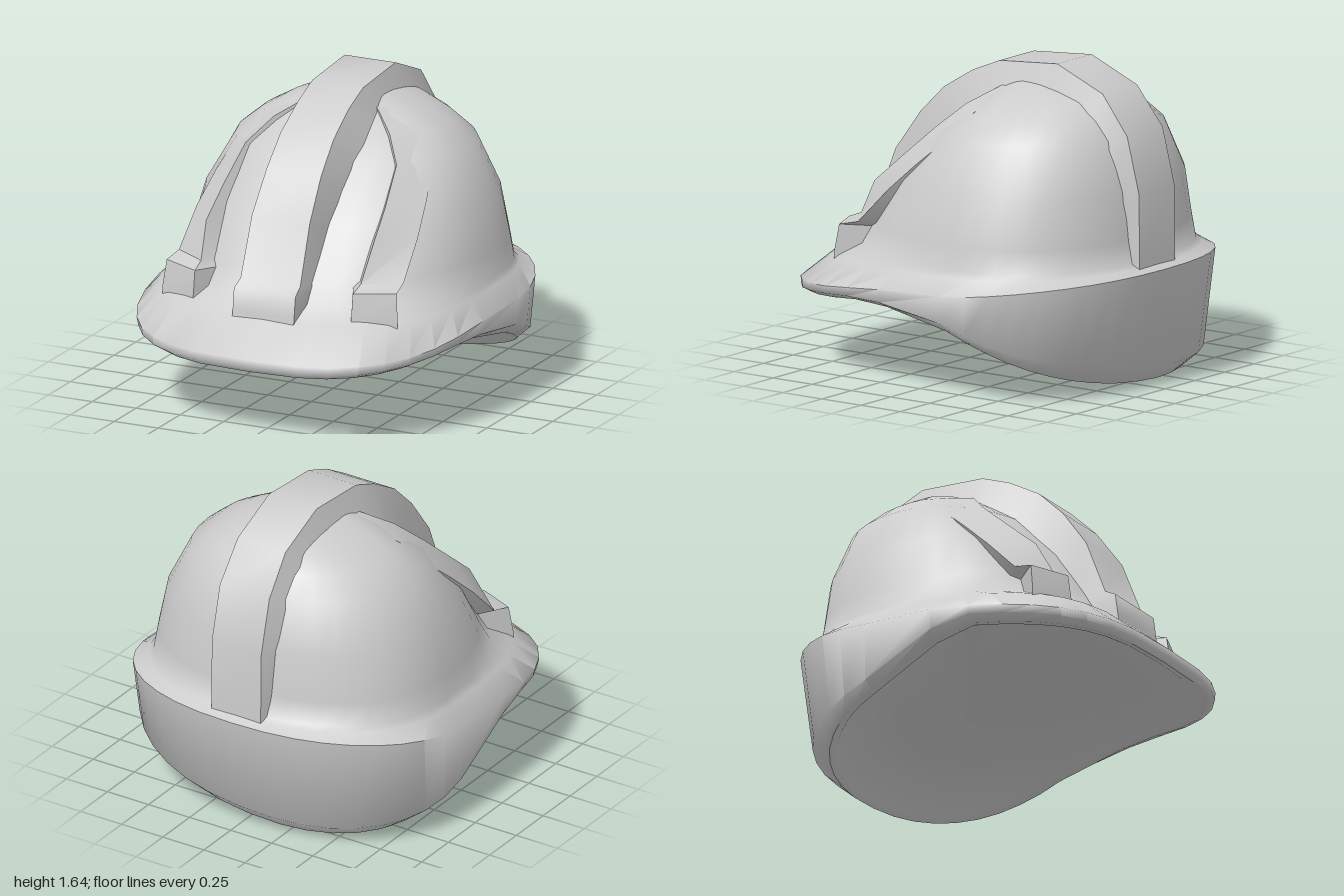
import * as THREE from 'three';
import { toCreasedNormals } from 'three/addons/utils/BufferGeometryUtils.js';

const SEGMENTS = 36;
const MID_Z = -0.25; // depth at which the helmet is widest

// Piecewise-linear lookup through [position, value] pairs in rising order.
function lookup(table, v) {
  if (v <= table[0][0]) return table[0][1];
  for (let i = 1; i < table.length; i++) {
    const [a, ya] = table[i - 1], [b, yb] = table[i];
    if (v <= b) return ya + (yb - ya) * (v - a) / (b - a);
  }
  return table[table.length - 1][1];
}

// Skin closed loops of points, listed from bottom to top.
function loft(loops, crease) {
  const n = loops[0].length, index = [];
  for (let i = 0; i < loops.length - 1; i++) {
    for (let j = 0; j < n; j++) {
      const a = i * n + j, b = i * n + (j + 1) % n;
      index.push(a, b, b + n, a, b + n, a + n);
    }
  }
  const geo = new THREE.BufferGeometry();
  geo.setAttribute('position', new THREE.Float32BufferAttribute(loops.flat(2), 3));
  geo.setIndex(index);
  return toCreasedNormals(geo, crease);
}

// Egg-shaped ring: half width, front z, back z, roundness of each half, height rule.
function ring(w, front, back, pf, pb, height) {
  const pts = [];
  for (let i = 0; i < SEGMENTS; i++) {
    const t = (i / SEGMENTS) * Math.PI * 2, s = Math.sin(t), c = Math.cos(t);
    const p = c > 0 ? pf : pb;
    const x = w * Math.sign(s) * Math.abs(s) ** p;
    const z = MID_Z + (c > 0 ? front - MID_Z : MID_Z - back) * Math.sign(c) * Math.abs(c) ** p;
    pts.push([x, typeof height === 'function' ? height(x, z) : height, z]);
  }
  return pts;
}

// Rim heights along z; the rim sits a little higher on the left side.
const rimTable = [[-0.82, 0.01], [-0.65, 0.09], [-0.42, 0.2], [-0.1, 0.33], [0.25, 0.44], [0.6, 0.4], [0.98, 0.36]];
const lowTable = [[-0.92, 0.1], [-0.42, 0.25], [-0.1, 0.37], [0.25, 0.465], [0.6, 0.43], [1, 0.385]];
const edgeTable = [[-1, 0.62], [-0.8, 0.6], [-0.3, 0.54], [0.2, 0.52], [0.6, 0.47], [1, 0.43]];
const tilt = (x, z) => 0.09 * x * THREE.MathUtils.clamp((0.25 - z) / 0.5, 0, 1);
const rimHeight = (lift) => (x, z) => lookup(rimTable, z) + tilt(x, z) + lift;

function shellGeometry() {
  const loops = [
    // Recessed underside and inner lip
    ring(0.001, MID_Z + 0.001, MID_Z - 0.001, 1, 1, rimHeight(0.08)),
    ring(0.4, 0.4, -0.5, 0.8, 0.9, rimHeight(0.07)),
    ring(0.77, 0.84, -0.76, 0.72, 0.9, rimHeight(0.06)),
    ring(0.81, 0.93, -0.79, 0.68, 0.9, rimHeight(0.01)),
    // Outer rim, brim edge and band
    ring(0.86, 0.975, -0.82, 0.66, 0.9, rimHeight(0)),
    ring(0.92, 1.0, -0.92, 0.66, 0.9, (x, z) => lookup(lowTable, z) + tilt(x, z)),
    ring(0.93, 1.0, -1.0, 0.66, 0.88, (x, z) => lookup(edgeTable, z)),
    // Shelf on top of the brim
    ring(0.84, 0.8, -0.95, 0.66, 0.88, (x, z) => lookup([[-0.9, 0.64], [0.7, 0.595]], z)),
    ring(0.825, 0.68, -0.92, 0.8, 0.9, 0.66),
    // Dome, flatter towards the front above the side ridges
    ring(0.805, 0.61, -0.9, 0.85, 0.9, 0.78),
    ring(0.75, 0.45, -0.88, 0.87, 0.9, 1.03),
    ring(0.62, 0.22, -0.8, 0.95, 0.9, 1.29),
    ring(0.5, 0.08, -0.72, 0.97, 0.92, 1.39),
    ring(0.37, -0.03, -0.64, 1, 0.95, 1.465),
    ring(0.18, -0.12, -0.5, 1, 1, 1.53),
    ring(0.001, MID_Z + 0.001, MID_Z - 0.001, 1, 1, 1.55),
  ];
  return loft(loops, 1.0);
}

// Raised crest from the front boss over the top to the back band.
function centreRidgeGeometry() {
  const path = [ // half width, outer y, outer z, flare of the foot
    [0.175, 0.55, 0.81, 0.02], [0.175, 0.62, 0.8, 0.02], [0.175, 0.73, 0.785, 0.02],
    [0.17, 0.765, 0.72, 0.03], [0.165, 1.07, 0.6, 0.04], [0.155, 1.28, 0.45, 0.06],
    [0.15, 1.43, 0.3, 0.08], [0.145, 1.54, 0.12, 0.1], [0.145, 1.61, -0.05, 0.1],
    [0.145, 1.64, -0.42, 0.08], [0.145, 1.52, -0.71, 0.1], [0.15, 1.32, -0.87, 0.1],
    [0.15, 1.03, -0.945, 0.08], [0.15, 0.65, -0.95, 0.05], [0.15, 0.56, -0.95, 0.05],
  ];
  return loft(path.map(([h, y, z, flare]) => {
    const iy = 0.7 + (y - 0.7) * 0.75, iz = MID_Z + (z - MID_Z) * 0.75;
    return [[-h - flare, iy, iz], [-h, y, z], [h, y, z], [h + flare, iy, iz]];
  }), 1.0);
}

// Side ridge: a boss at its foot, a sharp inner crest and an outer edge sinking into the dome.
function sideRidgeGeometry(side) {
  const path = [ // crest point, outer point
    [[0.45, 0.54, 0.7], [0.67, 0.54, 0.61]],
    [[0.45, 0.62, 0.7], [0.67, 0.62, 0.61]],
    [[0.45, 0.755, 0.68], [0.655, 0.76, 0.59]],
    [[0.455, 0.785, 0.6], [0.64, 0.785, 0.48]],
    [[0.475, 0.97, 0.5], [0.63, 0.97, 0.3]],
    [[0.46, 1.12, 0.33], [0.6, 1.12, 0.14]],
    [[0.43, 1.29, 0.14], [0.56, 1.26, -0.02]],
    [[0.33, 1.41, 0.02], [0.45, 1.395, -0.11]],
    [[0.2, 1.495, -0.1], [0.3, 1.48, -0.2]],
    [[0.1, 1.52, -0.15], [0.2, 1.5, -0.25]],
  ];
  const sunk = ([x, y, z]) => [x * 0.8, 0.7 + (y - 0.7) * 0.8, MID_Z + (z - MID_Z) * 0.8];
  return loft(path.map(([crest, outer]) => {
    const row = [sunk(crest), crest, outer, sunk(outer)].map(([x, y, z]) => [x * side, y, z]);
    return side > 0 ? row : row.reverse();
  }), 0.7);
}

export function createModel() {
  const group = new THREE.Group();
  group.name = 'hardHat';
  const grey = new THREE.MeshStandardMaterial({ color: 0xcccccc });
  grey.name = 'light grey';
  const add = (name, geo) => {
    const mesh = new THREE.Mesh(geo, grey);
    mesh.name = name;
    group.add(mesh);
  };
  add('shell', shellGeometry());
  add('centreRidge', centreRidgeGeometry());
  add('leftRidge', sideRidgeGeometry(1));
  add('rightRidge', sideRidgeGeometry(-1));
  return group;
}
